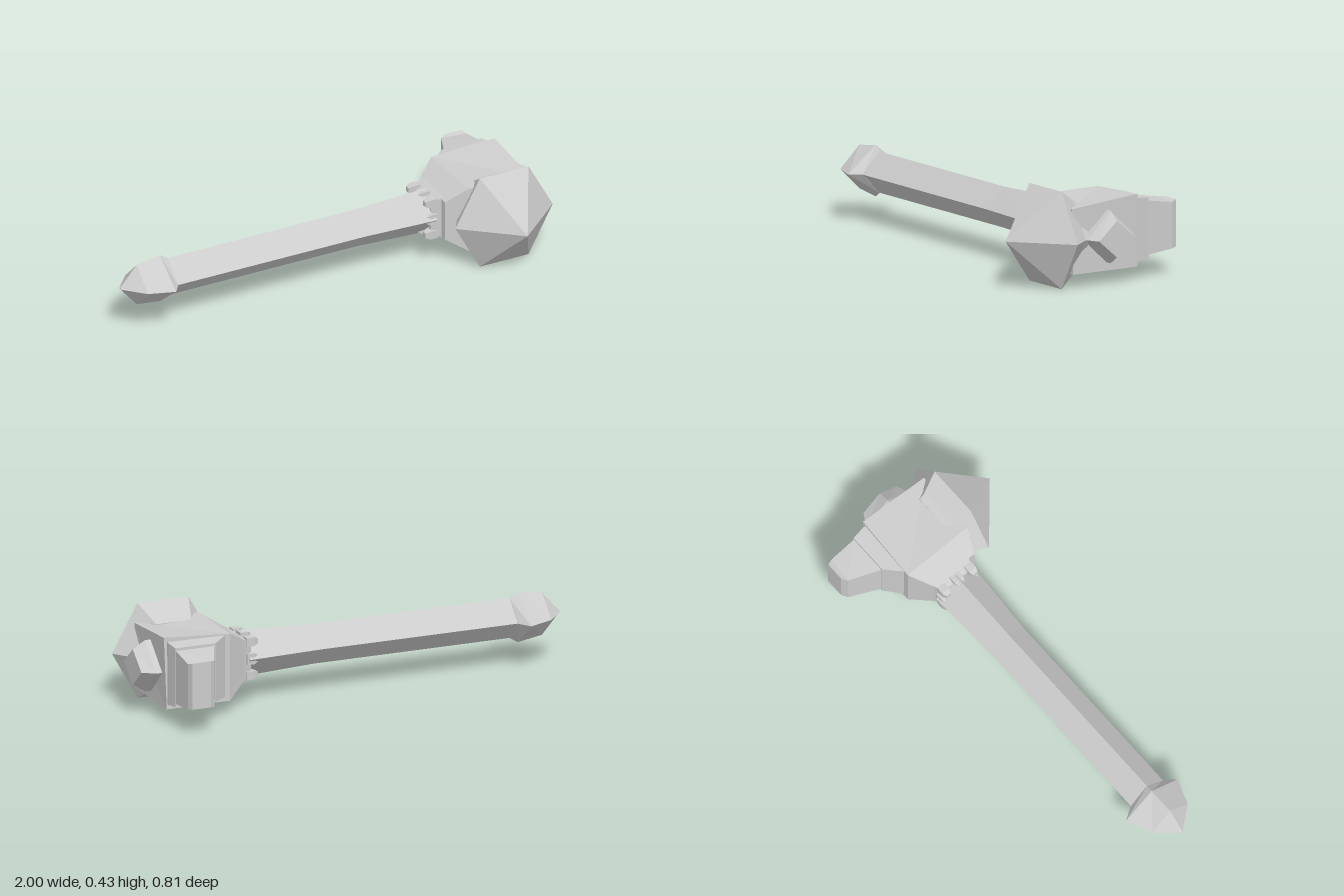
import * as THREE from 'three';

const CY = 0.215, CZ = -0.02;

// Skin a list of equal-length rings, cap both ends, and turn the faces outward.
function loft(rings) {
  const tris = [], n = rings[0].length;
  for (let r = 0; r < rings.length - 1; r++) {
    const a = rings[r], b = rings[r + 1];
    for (let i = 0; i < n; i++) {
      const j = (i + 1) % n;
      tris.push([a[i], a[j], b[j]], [a[i], b[j], b[i]]);
    }
  }
  const first = rings[0], last = rings[rings.length - 1];
  for (let i = 1; i < n - 1; i++) {
    tris.push([first[0], first[i + 1], first[i]], [last[0], last[i], last[i + 1]]);
  }
  let volume = 0;
  const v = (p) => new THREE.Vector3(...p);
  for (const [a, b, c] of tris) volume += v(a).dot(v(b).cross(v(c)));
  if (volume < 0) tris.forEach((t) => t.reverse());
  const geometry = new THREE.BufferGeometry();
  geometry.setAttribute('position', new THREE.Float32BufferAttribute(tris.flat(2), 3));
  geometry.computeVertexNormals();
  return geometry;
}

// Diamond section across x
const diamond = (x, ry, rz, cz = CZ) => [
  [x, CY + ry, cz], [x, CY, cz + rz], [x, CY - ry, cz], [x, CY, cz - rz],
];
// Rectangle section across x
const rectX = (x, y0, y1, z0, z1) => [[x, y0, z0], [x, y1, z0], [x, y1, z1], [x, y0, z1]];
// Rectangle section across z
const rectZ = (z, x0, x1, y0, y1) => [[x0, y0, z], [x1, y0, z], [x1, y1, z], [x0, y1, z]];
// Hexagon section across z, with corners left and right
const hexZ = (z, cx, rx, ry) => Array.from({ length: 6 }, (_, i) => {
  const a = (i * Math.PI) / 3;
  return [cx + Math.cos(a) * rx, CY + (Math.sin(a) / Math.sin(Math.PI / 3)) * ry, z];
});

export function createModel() {
  const model = new THREE.Group();
  model.name = 'warHammer';
  const stone = new THREE.MeshStandardMaterial({ color: 0xcccccc });
  stone.name = 'paleGrey';
  stone.flatShading = true;

  const add = (name, geometry, parent = model) => {
    const mesh = new THREE.Mesh(geometry, stone);
    mesh.name = name;
    parent.add(mesh);
    return mesh;
  };

  // Four-sided shaft, slightly flared at the head
  add('handle', loft([
    diamond(-0.79, 0.09, 0.09), diamond(0.15, 0.09, 0.09), diamond(0.49, 0.105, 0.108),
  ]));

  // Pointed end knob
  add('pommel', loft([
    diamond(-1, 0.003, 0.01), diamond(-0.92, 0.095, 0.1),
    diamond(-0.805, 0.112, 0.145, -0.025), diamond(-0.768, 0.09, 0.092),
  ]));

  // Square collar with claws gripping the shaft
  const collar = new THREE.Group();
  collar.name = 'collar';
  model.add(collar);
  add('collarBase', loft([
    rectX(0.475, CY - 0.075, CY + 0.075, CZ - 0.08, CZ + 0.08),
    rectX(0.53, CY - 0.1, CY + 0.1, CZ - 0.105, CZ + 0.105),
  ]), collar);
  for (const sy of [-1, 0, 1]) {
    for (const sz of [-1, 0, 1]) {
      if (!sy && !sz) continue;
      const y = CY + sy * 0.075, z = CZ + sz * 0.075;
      const t = sy && sz ? 0.019 : 0.024;
      add('claw', loft([
        rectX(0.445, y - t * 0.6, y + t * 0.6, z - t * 0.6, z + t * 0.6),
        rectX(0.465, y - t, y + t, z - t, z + t),
        rectX(0.5, y - t, y + t, z - t, z + t),
      ]), collar);
    }
  }

  // Central block, bevelled towards the handle
  add('headBlock', loft([
    rectX(0.515, CY - 0.09, CY + 0.09, -0.12, 0.11),
    rectX(0.61, 0.065, 0.365, -0.185, 0.15),
    [[0.905, 0.062, -0.183], [0.915, 0.382, -0.175], [0.905, 0.352, 0.16], [0.905, 0.065, 0.155]],
  ]));

  // Six-sided striking point at the front
  add('frontPoint', loft([
    hexZ(0.08, 0.755, 0.17, 0.145), hexZ(0.11, 0.755, 0.18, 0.158),
    hexZ(0.195, 0.757, 0.238, 0.213), hexZ(0.403, 0.757, 0.001, 0.001),
  ]));

  // Faceted stud on the end of the head
  add('endStud', loft([
    diamond(0.89, 0.115, 0.125), diamond(0.935, 0.115, 0.122), diamond(0.99, 0.08, 0.093, -0.015),
  ]));

  // Stepped band and tapered poll at the back
  add('rearBand', loft([
    rectZ(-0.17, 0.62, 0.9, 0.08, 0.362), rectZ(-0.19, 0.64, 0.9, 0.083, 0.36),
    rectZ(-0.248, 0.705, 0.893, 0.09, 0.353),
  ]));
  add('rearPoll', loft([
    rectZ(-0.22, 0.69, 0.89, 0.1, 0.343), rectZ(-0.25, 0.71, 0.89, 0.103, 0.34),
    [[0.77, 0.115, -0.385], [0.89, 0.115, -0.375], [0.89, 0.318, -0.375], [0.77, 0.322, -0.385]],
    rectZ(-0.402, 0.795, 0.88, 0.12, 0.326),
  ]));

  // Rest the model on the ground
  const box = new THREE.Box3().setFromObject(model);
  model.children.forEach((part) => { part.position.y -= box.min.y; });
  return model;
}
